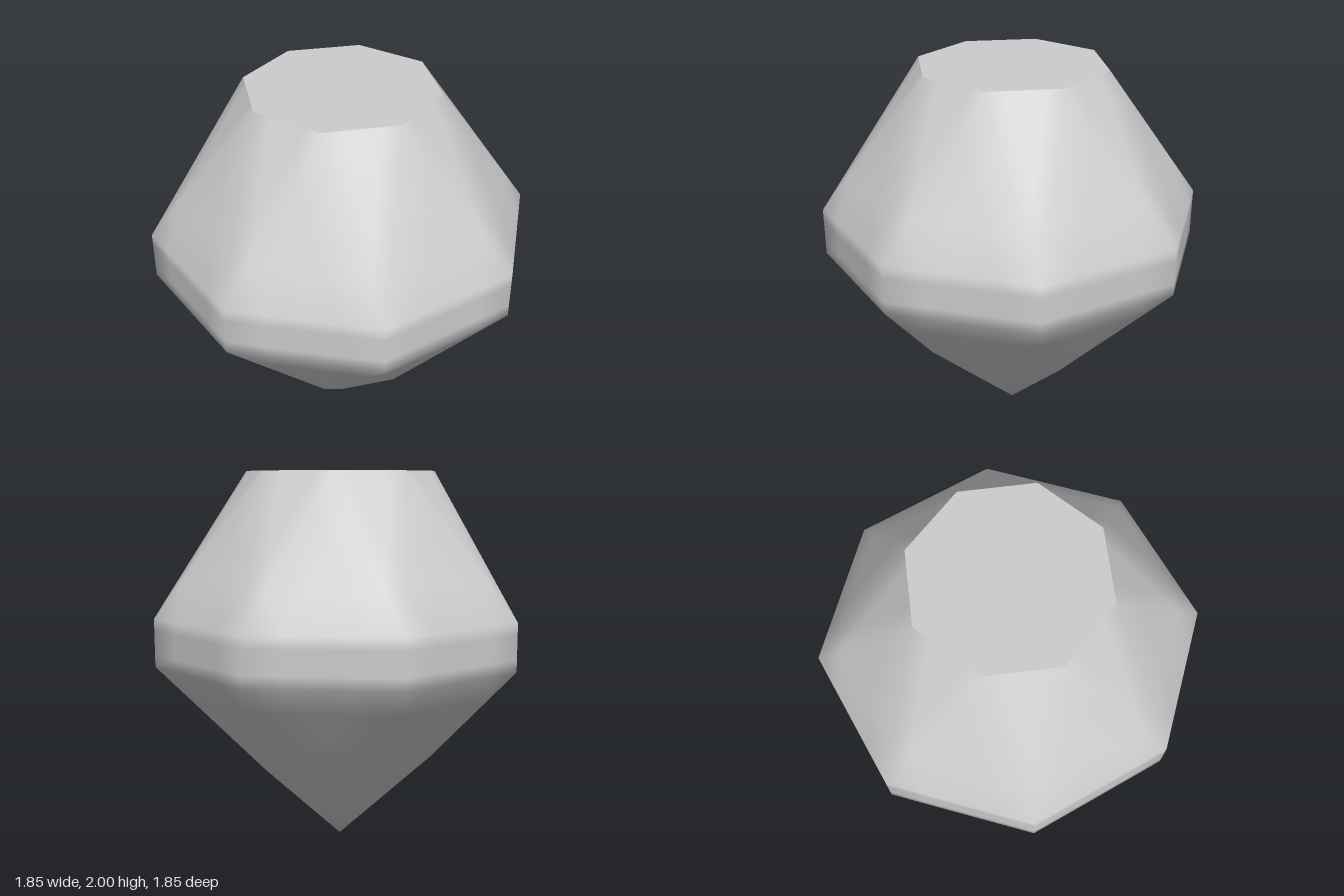
import * as THREE from 'three';
import { mergeVertices } from 'three/addons/utils/BufferGeometryUtils.js';

const SIDES = 8;
const STEPS = 4; // facet subdivision: normals soften only in the strip beside each edge

// Octagonal ring; turn is a fraction of one side
function ring(radius, y, turn) {
  return Array.from({ length: SIDES }, (_, i) => {
    const a = ((i + turn) / SIDES) * Math.PI * 2;
    return new THREE.Vector3(Math.sin(a) * radius, y, Math.cos(a) * radius);
  });
}

// Split one flat triangular facet into small triangles
function addFacet(out, a, b, c) {
  const at = (i, j) => a.clone()
    .addScaledVector(b.clone().sub(a), i / STEPS)
    .addScaledVector(c.clone().sub(a), j / STEPS);
  const tri = (...pts) => pts.forEach((p) => out.push(p.x, p.y, p.z));
  for (let i = 0; i < STEPS; i++) {
    for (let j = 0; j < STEPS - i; j++) {
      tri(at(i, j), at(i + 1, j), at(i, j + 1));
      if (i + j < STEPS - 1) tri(at(i + 1, j), at(i + 1, j + 1), at(i, j + 1));
    }
  }
}

export function createModel() {
  const model = new THREE.Group();
  model.name = 'gem';
  const stone = new THREE.MeshStandardMaterial({ color: 0xcccccc });
  stone.name = 'grey stone';

  const table = ring(0.5, 2, 0);
  const upper = ring(1, 1.25, 0.5);
  const lower = ring(1, 1, 0.5);
  const waist = ring(0.5, 0.45, 0);
  const tip = new THREE.Vector3(0, 0, 0);

  const points = [];
  for (let i = 0; i < SIDES; i++) {
    const next = (i + 1) % SIDES;
    const prev = (i + SIDES - 1) % SIDES;
    // Crown
    addFacet(points, upper[prev], upper[i], table[i]);
    addFacet(points, upper[i], table[next], table[i]);
    // Girdle
    addFacet(points, lower[prev], lower[i], upper[i]);
    addFacet(points, lower[prev], upper[i], upper[prev]);
    // Pavilion
    addFacet(points, waist[i], lower[i], lower[prev]);
    addFacet(points, waist[i], waist[next], lower[i]);
    addFacet(points, tip, waist[next], waist[i]);
  }
  let geometry = new THREE.BufferGeometry();
  geometry.setAttribute('position', new THREE.Float32BufferAttribute(points, 3));
  geometry = mergeVertices(geometry, 1e-4);
  geometry.computeVertexNormals();
  const facets = new THREE.Mesh(geometry, stone);
  facets.name = 'facets';

  // Flat top, kept sharp at its rim
  const top = new THREE.Mesh(new THREE.CircleGeometry(0.5, SIDES).rotateX(-Math.PI / 2), stone);
  top.position.y = 2;
  top.name = 'table';

  model.add(facets, top);
  return model;
}
